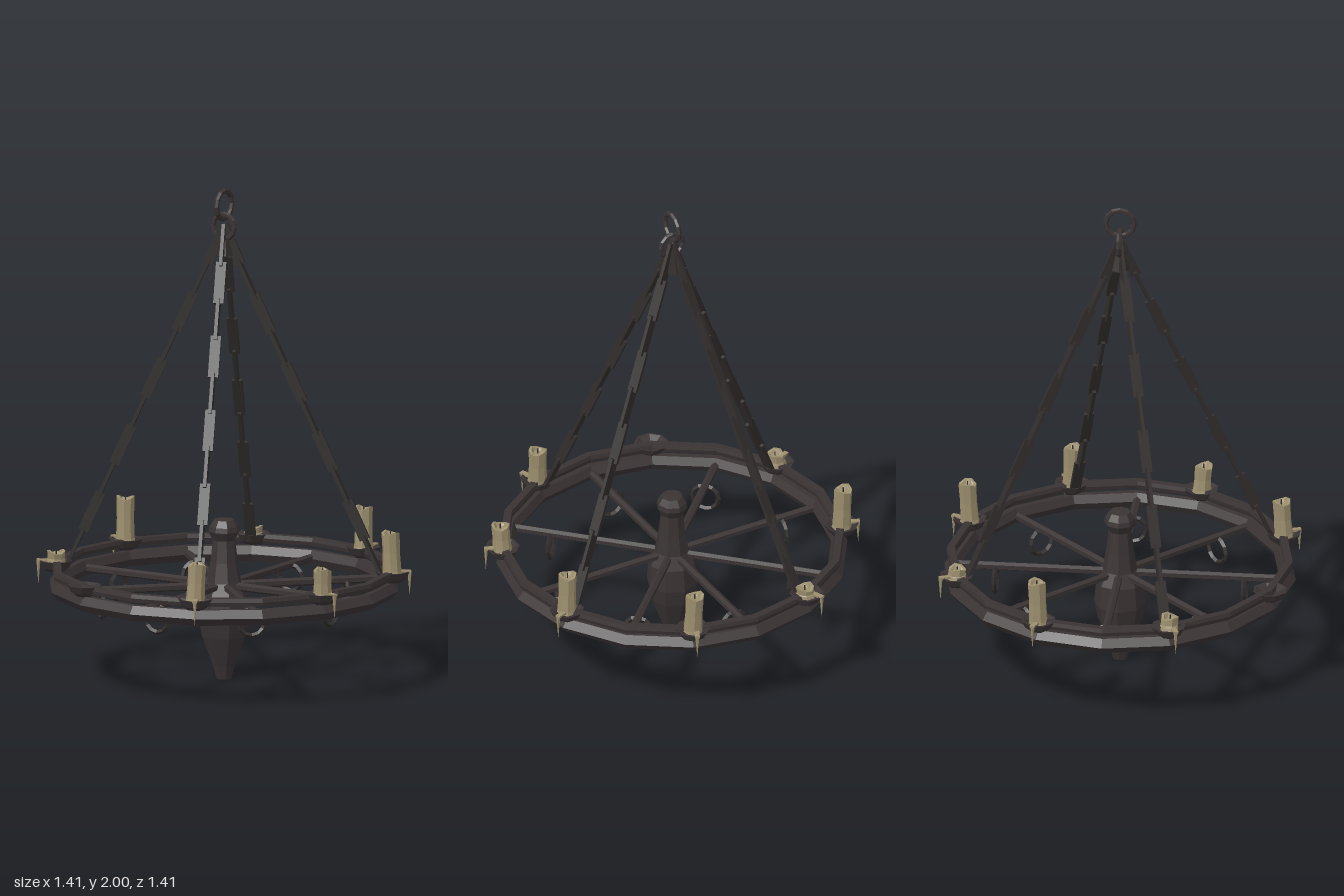
import * as THREE from 'three';

const iron = new THREE.MeshStandardMaterial({ color: 0x3a3334 });
iron.name = 'dark iron';
const chainIron = new THREE.MeshStandardMaterial({ color: 0x322d2d });
chainIron.name = 'chain iron';
const wax = new THREE.MeshStandardMaterial({ color: 0x9c8f6e });
wax.name = 'old wax';

// Faceted mesh: split the vertices so each face has its own normal
function part(parent, name, geometry, material) {
  const g = geometry.index ? geometry.toNonIndexed() : geometry;
  g.computeVertexNormals();
  const m = new THREE.Mesh(g, material);
  m.name = name;
  parent.add(m);
  return m;
}

const lathe = (points, sides) =>
  new THREE.LatheGeometry(points.map(([r, y]) => new THREE.Vector2(r, y)), sides);

const UP = new THREE.Vector3(0, 1, 0);

// Chain of flat links, alternately turned a quarter
function addChain(parent, angle) {
  const chain = new THREE.Group();
  chain.name = 'chain';
  const top = new THREE.Vector3(0, 1.84, 0);
  const end = new THREE.Vector3(Math.sin(angle) * 0.63, 0.46, Math.cos(angle) * 0.63);
  const dir = end.clone().sub(top);
  const length = dir.length();
  dir.normalize();
  const side = new THREE.Vector3().crossVectors(UP, dir).normalize();
  const basis = new THREE.Matrix4().makeBasis(side, dir, new THREE.Vector3().crossVectors(side, dir));
  const links = 10, step = length / links;
  for (let i = 0; i < links; i++) {
    const wide = i % 2 === 1;
    const link = part(chain, 'chainLink',
      new THREE.BoxGeometry(wide ? 0.042 : 0.014, step * 1.12, wide ? 0.014 : 0.042), chainIron);
    link.quaternion.setFromRotationMatrix(basis);
    link.position.copy(top).addScaledVector(dir, (i + 0.5) * step);
  }
  parent.add(chain);
}

// Worn candle: hollow top, uneven rim, slight lean, drip over the cup
function addCandle(holder, height, seed) {
  const g = lathe([[0.043, 0], [0.038, 0.025], [0.035, height * 0.55],
    [0.037, height], [0.026, height], [0.018, height - 0.012], [0, height - 0.014]], 8);
  const p = g.attributes.position;
  for (let i = 0; i < p.count; i++) {
    const a = Math.atan2(p.getX(i), p.getZ(i));
    const t = p.getY(i) / height;
    if (t > 0.95) p.setY(i, p.getY(i) + 0.008 * Math.sin(2 * a + seed));
    p.setX(i, p.getX(i) + 0.008 * t * Math.sin(seed * 2));
    p.setZ(i, p.getZ(i) + 0.008 * t * Math.cos(seed * 3));
  }
  part(holder, 'candle', g, wax).position.y = 0.44;

  const wick = part(holder, 'wick', new THREE.CylinderGeometry(0.003, 0.003, 0.025, 4), chainIron);
  wick.position.set(0.008 * Math.sin(seed * 2), 0.44 + height - 0.004, 0.008 * Math.cos(seed * 3));

  const run = part(holder, 'waxRun', new THREE.BoxGeometry(0.02, 0.009, 0.045), wax);
  run.position.set(0.01, 0.464, 0.052);
  const drip = part(holder, 'waxDrip', new THREE.ConeGeometry(0.009, 0.1, 5), wax);
  drip.rotation.x = Math.PI;
  drip.position.set(0.01, 0.415, 0.068);
}

export function createModel() {
  const model = new THREE.Group();
  model.name = 'chandelier';

  // Two sixteen-sided hoops
  part(model, 'lowerHoop', lathe([[0.682, 0.353], [0.706, 0.384], [0.682, 0.416],
    [0.657, 0.416], [0.64, 0.384], [0.657, 0.353], [0.682, 0.353]], 16), iron);
  part(model, 'upperHoop', lathe([[0.693, 0.432], [0.697, 0.448], [0.693, 0.464],
    [0.663, 0.464], [0.659, 0.448], [0.663, 0.432], [0.693, 0.432]], 16), iron);

  // Turned centre post
  part(model, 'centrePost', lathe([[0, 0.005], [0.03, 0.005], [0.045, 0.06], [0.09, 0.18],
    [0.104, 0.25], [0.095, 0.345], [0.07, 0.4], [0.056, 0.48], [0.046, 0.57],
    [0.064, 0.605], [0.06, 0.625], [0.043, 0.652], [0, 0.655]], 8), iron);

  // Eight spokes, each with a ring hanging under it
  for (let i = 0; i < 8; i++) {
    const arm = new THREE.Group();
    arm.name = 'spokeArm';
    arm.rotation.y = i * Math.PI / 4;
    const spoke = part(arm, 'spoke', new THREE.CylinderGeometry(0.017, 0.017, 0.67, 6), iron);
    spoke.rotation.x = Math.PI / 2;
    spoke.position.set(0, 0.385, 0.335);
    part(arm, 'hangingRing', new THREE.TorusGeometry(0.054, 0.01, 4, 12), chainIron)
      .position.set(0, 0.33, 0.5);
    model.add(arm);
  }

  // Eight cups; a zero height leaves the cup empty
  const heights = [0.16, 0.12, 0.18, 0.18, 0.05, 0.19, 0.06, 0];
  heights.forEach((height, i) => {
    const angle = (i + 0.5) * Math.PI / 4;
    const holder = new THREE.Group();
    holder.name = 'candleHolder';
    holder.position.set(Math.sin(angle) * 0.682, 0, Math.cos(angle) * 0.682);
    holder.rotation.y = angle;
    part(holder, 'cup', lathe([[0, 0.42], [0.034, 0.42], [0.055, 0.435], [0.07, 0.464],
      [0.062, 0.464], [0.03, 0.446], [0, 0.443]], 8), iron);
    if (height) addCandle(holder, height, i + 1);
    model.add(holder);
    if (i % 2 === 0) addChain(model, angle);
  });

  // Interlocked rings at the top
  part(model, 'chainRing', new THREE.TorusGeometry(0.05, 0.011, 6, 12), iron).position.y = 1.845;
  const hangRing = part(model, 'ceilingRing', new THREE.TorusGeometry(0.057, 0.011, 6, 12), iron);
  hangRing.rotation.y = Math.PI / 2;
  hangRing.position.y = 1.932;
  part(model, 'chainCollar', new THREE.CylinderGeometry(0.012, 0.04, 0.1, 8), chainIron).position.y = 1.78;

  return model;
}
